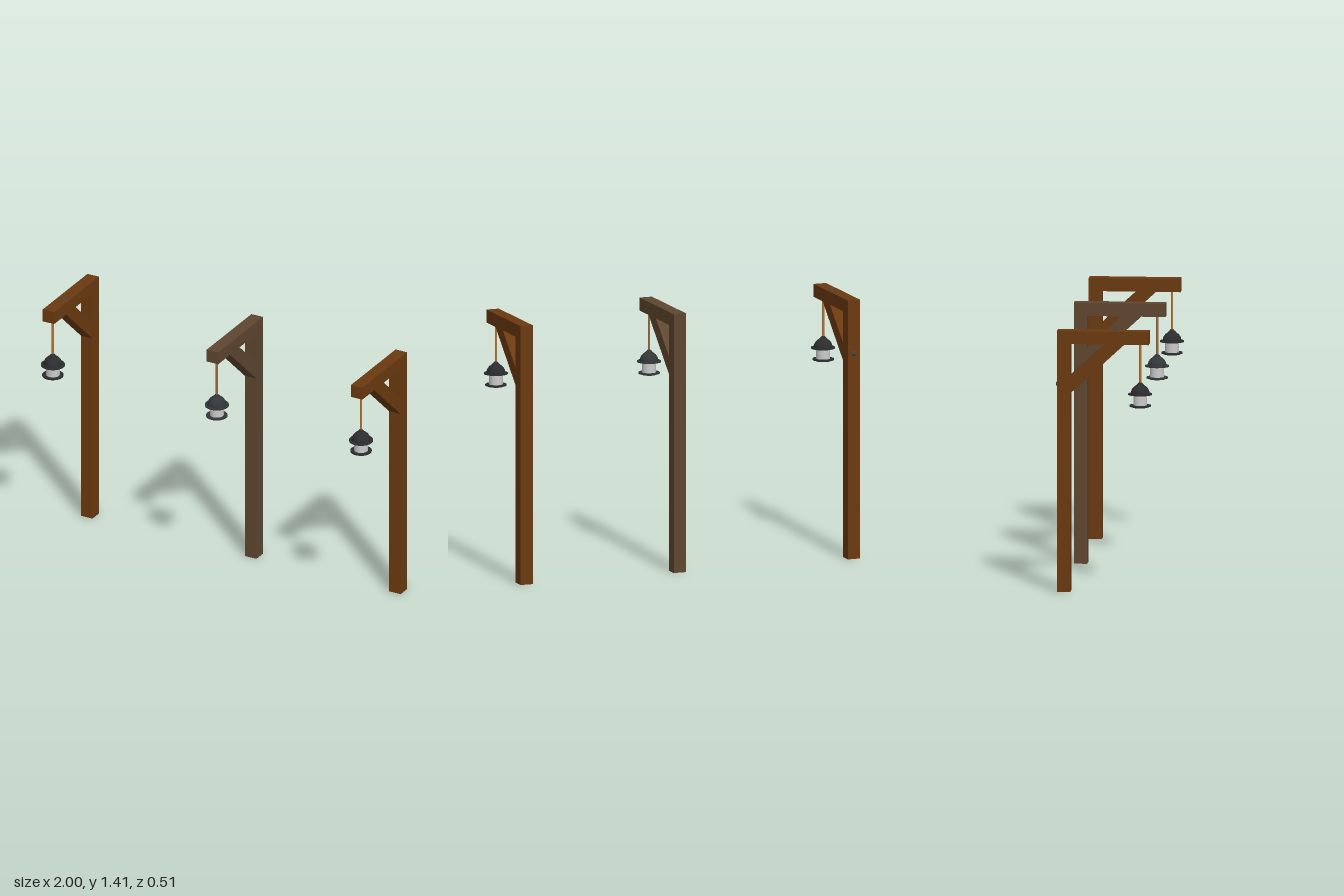
import * as THREE from 'three';

const WIDTH = 0.07;      // timber thickness
const HANG_Z = 0.196;    // lantern axis

const mat = (color, extra = {}) => new THREE.MeshStandardMaterial({ color, ...extra });

function add(group, name, geometry, material, x = 0, y = 0, z = 0) {
  const mesh = new THREE.Mesh(geometry, material);
  mesh.name = name;
  mesh.position.set(x, y, z);
  group.add(mesh);
  return mesh;
}

// Lathe from [radius, height] pairs, listed bottom to top
const lathe = (points) =>
  new THREE.LatheGeometry(points.map(([r, y]) => new THREE.Vector2(r, y)), 32);

function makeLantern(metal, glass) {
  const lantern = new THREE.Group();
  lantern.name = 'lantern';

  // Base: wide tray over a narrower foot
  add(lantern, 'baseFoot', new THREE.CylinderGeometry(0.042, 0.042, 0.006, 32), metal, 0, 0.994, 0);
  add(lantern, 'baseTray', new THREE.CylinderGeometry(0.057, 0.057, 0.007, 32), metal, 0, 1.0, 0);
  add(lantern, 'glass', new THREE.CylinderGeometry(0.037, 0.037, 0.06, 32), glass, 0, 1.033, 0);
  add(lantern, 'capBrim', new THREE.CylinderGeometry(0.064, 0.064, 0.006, 32), metal, 0, 1.062, 0);

  // Rounded cap
  const dome = [];
  for (let i = 0; i <= 10; i++) {
    const a = (i / 10) * Math.PI / 2;
    dome.push([0.05 * Math.cos(a), 1.064 + 0.05 * Math.sin(a)]);
  }
  add(lantern, 'capDome', lathe(dome), metal);
  add(lantern, 'capCollar', new THREE.CylinderGeometry(0.014, 0.024, 0.012, 24), metal, 0, 1.113, 0);
  add(lantern, 'capKnob', new THREE.SphereGeometry(0.012, 16, 10), metal, 0, 1.116, 0);

  lantern.position.z = HANG_Z;
  return lantern;
}

function makeLampPost(name, x, woodColor, ropeColor, metalColor) {
  const post = new THREE.Group();
  post.name = name;
  post.position.x = x;
  const wood = mat(woodColor);

  // Upright and cantilever beam
  add(post, 'upright', new THREE.BoxGeometry(WIDTH, 1.33, 0.071), wood, 0, 0.665, -0.2095);
  add(post, 'beam', new THREE.BoxGeometry(WIDTH, 0.07, 0.489), wood, 0, 1.365, -0.0005);

  // Diagonal brace: side outline in (z, y), extruded across the width
  const outline = new THREE.Shape([
    [0.114, 1.33], [0.01, 1.33], [-0.174, 1.16], [-0.174, 1.065],
  ].map(([z, y]) => new THREE.Vector2(-z, y)));
  const brace = new THREE.ExtrudeGeometry(outline, { depth: WIDTH, bevelEnabled: false });
  brace.translate(0, 0, -WIDTH / 2).rotateY(Math.PI / 2);
  add(post, 'brace', brace, wood);

  // Rope and lantern
  add(post, 'rope', new THREE.CylinderGeometry(0.006, 0.006, 0.22, 12), mat(ropeColor), 0, 1.225, HANG_Z);
  post.add(makeLantern(mat(metalColor), mat(0xcccccc)));
  return post;
}

export function createModel() {
  const model = new THREE.Group();
  model.name = 'lampPosts';

  const right = makeLampPost('rightPost', -0.935, 0x6b3a10, 0xb8732e, 0x2b2d2f);
  const middle = makeLampPost('middlePost', 0.06, 0x5f4630, 0x9c6a3c, 0x34373a);
  const left = makeLampPost('leftPost', 0.935, 0x6b3a10, 0xb8732e, 0x2b2d2f);
  model.add(right, middle, left);

  // Bolt heads where the brace is fixed, on the right post
  const iron = mat(0x444444);
  const bolt = new THREE.SphereGeometry(0.014, 16, 12);
  add(right, 'beamBolt', bolt, iron, 0, 1.398, 0.08).scale.y = 0.7;
  add(right, 'uprightBolt', bolt, iron, 0, 1.112, -0.243).scale.z = 0.7;

  return model;
}
